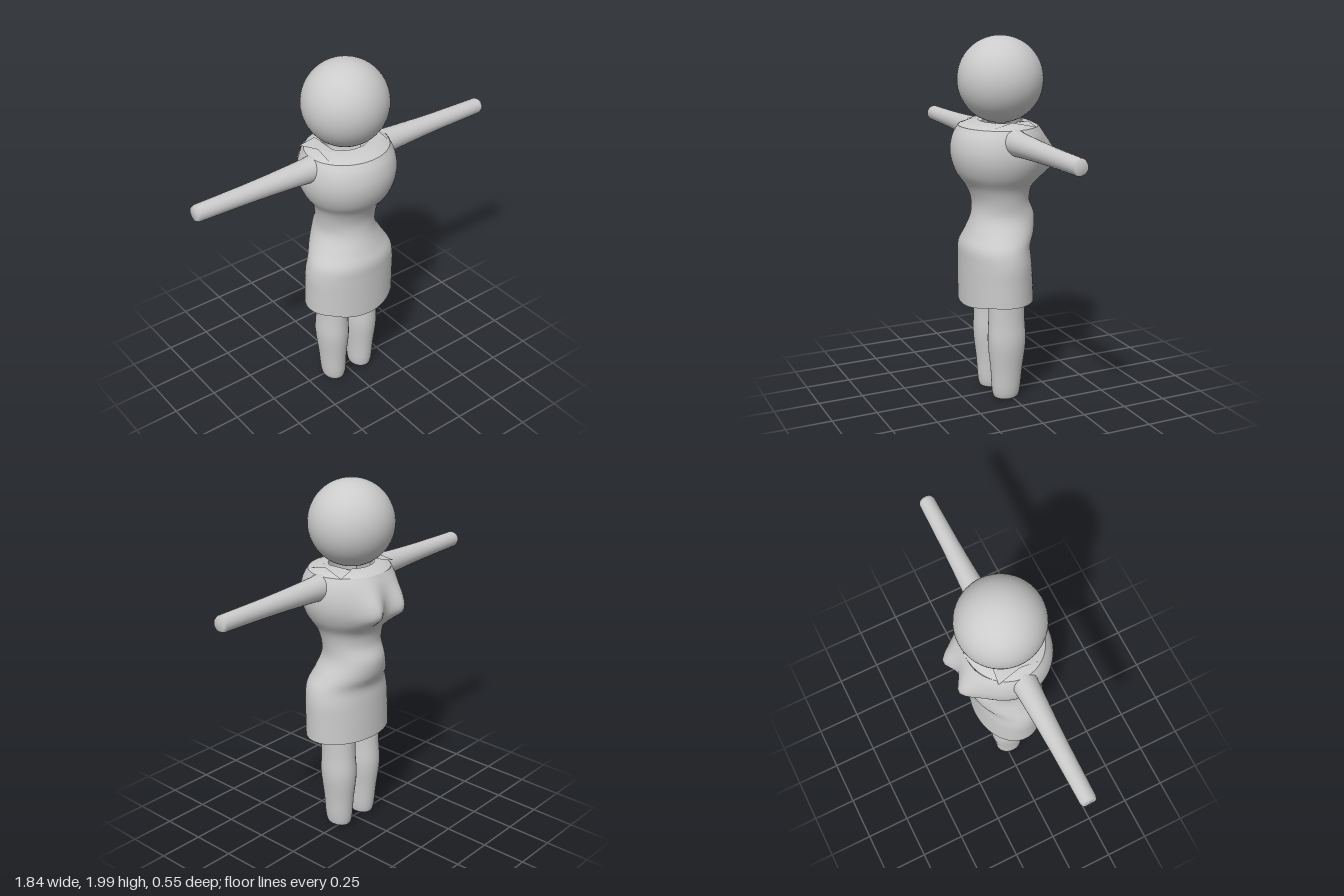
import * as THREE from 'three';

const material = new THREE.MeshStandardMaterial({ color: 0xcccccc, side: THREE.DoubleSide });

function add(parent, geometry, name) {
  const mesh = new THREE.Mesh(geometry, material);
  mesh.name = name;
  parent.add(mesh);
  return mesh;
}

// Smooth skin over oval rings [y, centreX, radiusX, minZ, maxZ], listed from the bottom up
function loft(rings, { steps = 4, sides = 48, capBottom = false, shape = null } = {}) {
  const rows = [];
  const curves = [0, 3].map(k => new THREE.CatmullRomCurve3(
    rings.map(r => k === 0 ? new THREE.Vector3(r[0], r[1], r[2]) : new THREE.Vector3(r[0], r[3], r[4]))));
  const count = (rings.length - 1) * steps;
  for (let i = 0; i <= count; i++) {
    const a = curves[0].getPoint(i / count), b = curves[1].getPoint(i / count);
    rows.push([a.x, a.y, a.z, b.y, b.z]);
  }
  const positions = [], index = [];
  const p = new THREE.Vector3();
  rows.forEach(([y, cx, rx, z0, z1], i) => {
    for (let j = 0; j < sides; j++) {
      const t = j / sides * Math.PI * 2;
      p.set(cx + rx * Math.sin(t), y, (z0 + z1) / 2 + (z1 - z0) / 2 * Math.cos(t));
      if (shape) shape(p, i / count);
      positions.push(p.x, p.y, p.z);
      if (i < count) {
        const k = i * sides + j, n = i * sides + (j + 1) % sides;
        index.push(k, n, n + sides, k, n + sides, k + sides);
      }
    }
  });
  if (capBottom) {
    const [y, cx, , z0, z1] = rows[0];
    positions.push(cx, y, (z0 + z1) / 2);
    const c = positions.length / 3 - 1;
    for (let j = 0; j < sides; j++) index.push(c, (j + 1) % sides, j);
  }
  const g = new THREE.BufferGeometry();
  g.setAttribute('position', new THREE.Float32BufferAttribute(positions, 3));
  g.setIndex(index);
  g.computeVertexNormals();
  return g;
}

// Two rounded swells on the chest, and a hem that dips on the +z side
function shapeDress(p) {
  if (p.z < 0) {
    const dy = (p.y - 1.33) / (p.y > 1.33 ? 0.12 : 0.065);
    const dx = (Math.abs(p.x) - 0.1) / 0.062;
    p.z -= 0.068 * Math.exp(-dx * dx - dy * dy) * Math.min(1, -p.z / 0.1);
  }
  if (p.z > 0.1 && p.y < 0.7) {
    p.y -= 0.027 * Math.max(0, 1 - (p.x / 0.2) ** 2) * (0.7 - p.y) / 0.12;
  }
}

export function createModel() {
  const model = new THREE.Group();
  model.name = 'figure';

  // Head
  const head = add(model, new THREE.SphereGeometry(0.23, 48, 32), 'head');
  head.position.set(0, 1.77, 0.015);

  // Dress, open at the hem
  add(model, loft([
    [0.58, 0, 0.268, -0.148, 0.24],
    [0.7, 0, 0.268, -0.142, 0.24],
    [0.8, 0, 0.267, -0.135, 0.24],
    [0.88, 0, 0.25, -0.13, 0.238],
    [0.95, 0, 0.212, -0.16, 0.21],
    [1.04, 0, 0.17, -0.17, 0.178],
    [1.12, 0, 0.17, -0.14, 0.172],
    [1.2, 0, 0.19, -0.148, 0.2],
    [1.27, 0, 0.235, -0.195, 0.25],
    [1.34, 0, 0.262, -0.22, 0.277],
    [1.41, 0, 0.268, -0.222, 0.284],
    [1.48, 0, 0.255, -0.205, 0.268],
    [1.53, 0, 0.232, -0.18, 0.238],
  ], { sides: 64, shape: shapeDress }), 'dress');

  // Shallow yoke from the dress edge to the neck, with a pointed collar edge
  add(model, loft([
    [1.528, 0, 0.232, -0.18, 0.238],
    [1.545, 0, 0.195, -0.145, 0.19],
    [1.555, 0, 0.13, -0.1, 0.13],
  ], { sides: 64 }), 'yoke');
  for (const side of [-1, 1]) {
    const collar = new THREE.BufferGeometry().setFromPoints([
      [0.12, 1.555, 0.1], [0.185, 1.562, 0.03], [0.12, 1.558, -0.09],
      [0.21, 1.535, -0.1], [0.12, 1.555, 0.1], [0.19, 1.54, 0.13],
    ].map(([x, y, z]) => new THREE.Vector3(side * x, y, z)));
    collar.setIndex(side > 0 ? [0, 1, 2, 1, 3, 2, 4, 5, 1] : [0, 2, 1, 1, 2, 3, 4, 1, 5]);
    collar.computeVertexNormals();
    add(model, collar, side > 0 ? 'leftCollar' : 'rightCollar');
  }

  // Arms, tapering from the shoulder, with a small bevel at the tip
  const armProfile = [
    [0.074, 0.14], [0.072, 0.21], [0.066, 0.26], [0.061, 0.34], [0.054, 0.48],
    [0.049, 0.62], [0.046, 0.78], [0.044, 0.905], [0.036, 0.922], [0, 0.922],
  ].map(([r, y]) => new THREE.Vector2(r, y));
  for (const side of [-1, 1]) {
    const arm = add(model, new THREE.LatheGeometry(armProfile, 24), side > 0 ? 'leftArm' : 'rightArm');
    arm.rotation.z = -side * Math.PI / 2;
    arm.position.set(0, 1.465, 0.033);
  }

  // Legs, fullest at the knee and rounded at the foot
  for (const side of [-1, 1]) {
    add(model, loft([
      [0.008, side * 0.095, 0.045, -0.035, 0.08],
      [0.022, side * 0.095, 0.06, -0.048, 0.098],
      [0.18, side * 0.098, 0.075, -0.067, 0.114],
      [0.34, side * 0.1, 0.09, -0.086, 0.13],
      [0.46, side * 0.1, 0.084, -0.08, 0.127],
      [0.58, side * 0.1, 0.083, -0.08, 0.127],
      [0.85, side * 0.1, 0.085, -0.08, 0.127],
    ], { sides: 32, capBottom: true }), side > 0 ? 'leftLeg' : 'rightLeg');
  }

  return model;
}
